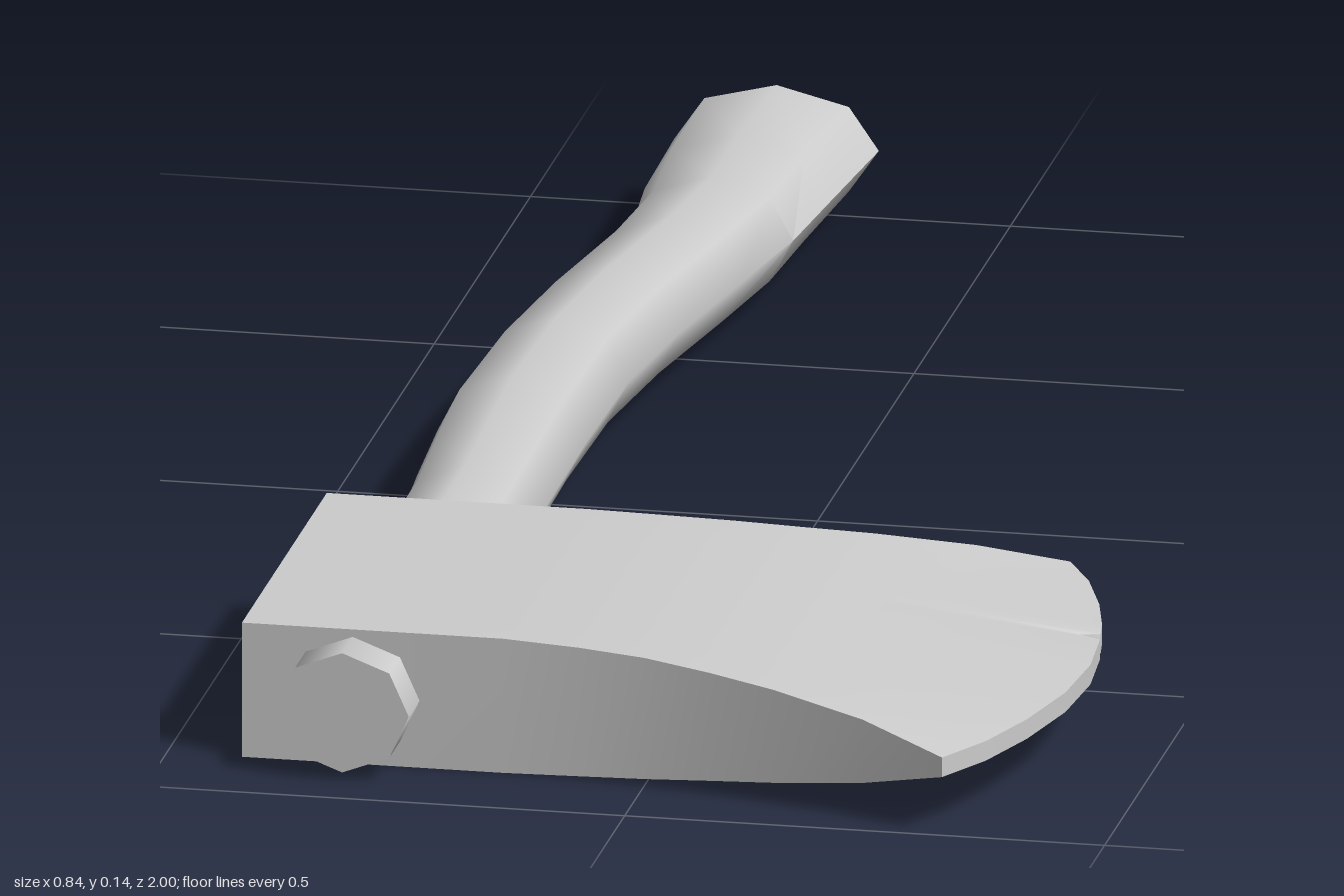
import * as THREE from 'three';
import { toCreasedNormals } from 'three/addons/utils/BufferGeometryUtils.js';

const MID_Y = 0.072;

// Skins equal-sized rings of points and closes both ends with strips.
function loft(name, rings, material) {
  const n = rings[0].length;
  const last = (rings.length - 1) * n;
  const index = [];
  for (let r = 0; r < rings.length - 1; r++) {
    for (let j = 0; j < n; j++) {
      const a = r * n + j, b = r * n + (j + 1) % n;
      index.push(a, b, a + n, b, b + n, a + n);
    }
  }
  for (let i = 0; i < n / 2 - 1; i++) {
    const a = i, b = i + 1, c = n - 1 - i, d = n - 2 - i;
    index.push(a, c, b, b, c, d);
    index.push(last + a, last + b, last + c, last + b, last + d, last + c);
  }
  const geometry = new THREE.BufferGeometry();
  geometry.setAttribute('position', new THREE.Float32BufferAttribute(rings.flat(2), 3));
  geometry.setIndex(index);
  const mesh = new THREE.Mesh(toCreasedNormals(geometry, 1.0), material);
  mesh.name = name;
  return mesh;
}

// Axe head: straight sections towards the blade, then a curved, nicked edge.
function createHead(material) {
  const midZ = 0.665;
  // cutting edge as [x, z]
  const edge = [
    [0.33, 0.332], [0.361, 0.39], [0.387, 0.465], [0.403, 0.53], [0.408, 0.562],
    [0.388, 0.568], [0.411, 0.58], [0.418, 0.665], [0.411, 0.76],
    [0.39, 0.855], [0.363, 0.935], [0.33, 0.997],
  ];
  // sections as [x, half thickness, half width]
  const sections = [
    [-0.422, 0.072, 0.22], [-0.15, 0.072, 0.22], [-0.07, 0.069, 0.225],
    [0, 0.065, 0.233], [0.07, 0.058, 0.247], [0.14, 0.05, 0.265], [0.24, 0.034, 0.296],
  ];
  const ring = (points, half) => [
    ...points.map(([x, z]) => [x, MID_Y + half, z]),
    ...points.map(([x, z]) => [x, MID_Y - half, z]).reverse(),
  ];
  const rings = sections.map(([x, half, width]) =>
    ring(edge.map(([, z]) => [x, midZ + (z - midZ) * width / 0.3325]), half));
  rings.push(ring(edge, 0.0105));
  return loft('axeHead', rings, material);
}

// Eight-sided handle with a gentle S bend and a flared grip end.
function createHandle(material) {
  // sections as [z, smallest x, largest x]
  const sections = [
    [-1, -0.35, -0.137], [-0.83, -0.347, -0.152], [-0.69, -0.334, -0.164],
    [-0.55, -0.343, -0.187], [-0.37, -0.37, -0.217], [-0.2, -0.388, -0.236],
    [0, -0.396, -0.239], [0.15, -0.387, -0.238], [0.3, -0.376, -0.237],
    [0.94, -0.376, -0.237],
  ];
  const rings = sections.map(([z, x0, x1]) =>
    Array.from({ length: 8 }, (_, i) => {
      const a = i * Math.PI / 4;
      return [(x0 + x1) / 2 + Math.cos(a) * (x1 - x0) / 2, MID_Y + Math.sin(a) * 0.064, z];
    }));
  return loft('handle', rings, material);
}

export function createModel() {
  const material = new THREE.MeshStandardMaterial({ color: 0xcccccc });
  const group = new THREE.Group();
  group.name = 'axe';
  group.add(createHead(material), createHandle(material));
  return group;
}
